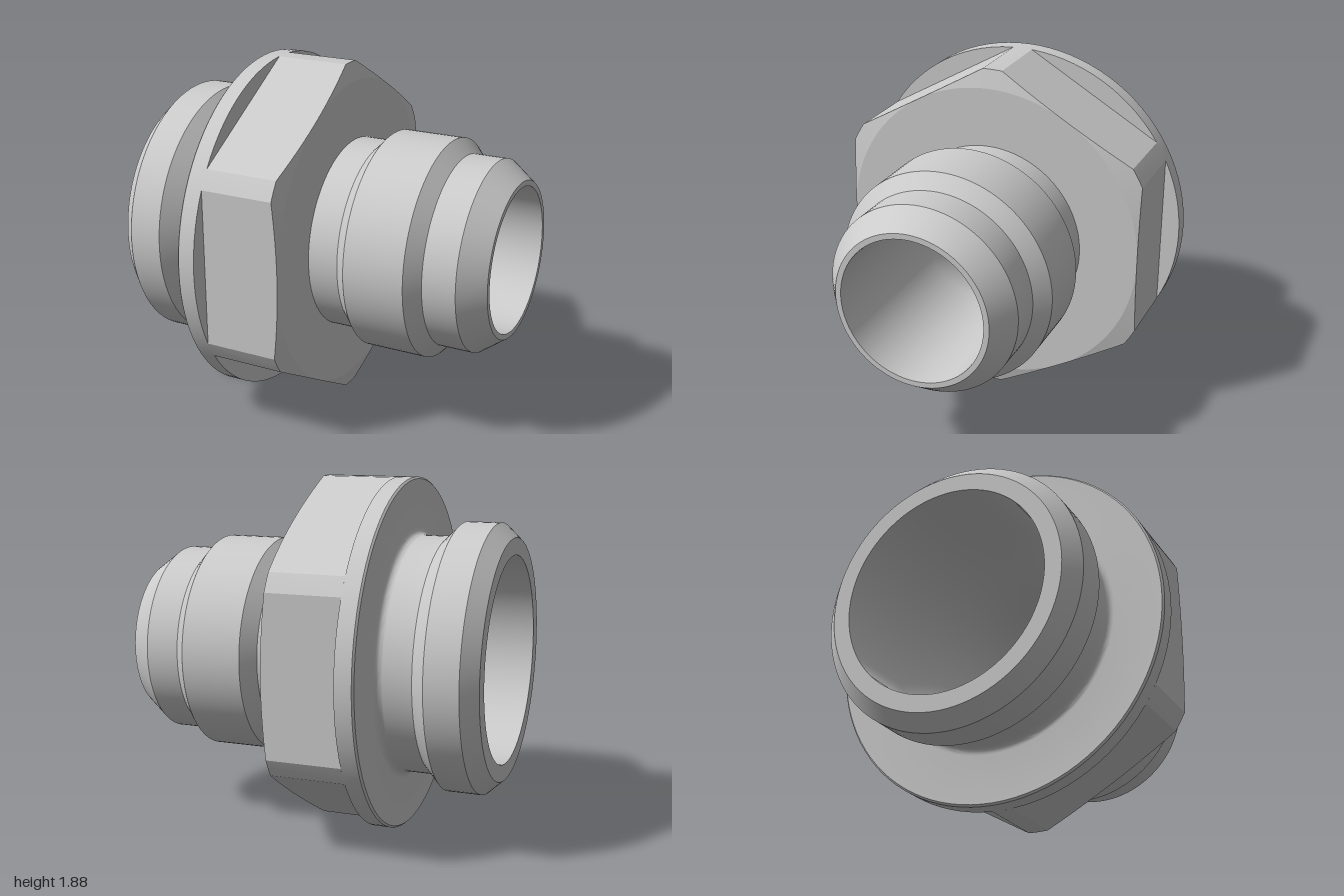
import * as THREE from 'three';
import { toCreasedNormals } from 'three/addons/utils/BufferGeometryUtils.js';

const AXIS_Y = 0.94;      // height of the fitting's axis
const FLANGE_R = 0.94;
const FLAT_R = 0.84;      // axis to each hexagon flat

// Turned body: closed profile as [x, radius], revolved about the x axis
function bodyGeometry() {
  const profile = [[-1, 0.55], [-1, 0.64], [-0.92, 0.715], [-0.74, 0.715], [-0.66, 0.635]];
  // fillet between the neck and the flange
  for (let i = 0; i <= 6; i++) {
    const a = (i / 6) * Math.PI / 2;
    profile.push([-0.51 + 0.04 * Math.sin(a), 0.675 - 0.04 * Math.cos(a)]);
  }
  // flange, then the smaller stepped end
  profile.push([-0.47, 0.93], [-0.46, FLANGE_R], [-0.37, FLANGE_R], [-0.37, 0.52],
    [0.22, 0.52], [0.29, 0.59], [0.62, 0.59], [0.69, 0.515], [0.87, 0.515],
    [1, 0.42], [1, 0.39]);
  // bore, blending smoothly from the narrow to the wide end
  for (let i = 0; i <= 16; i++) {
    const t = i / 16;
    profile.push([0.1 - 0.7 * t, 0.39 + 0.16 * t * t * (3 - 2 * t)]);
  }
  profile.push([-1, 0.55]);

  const points = profile.map(([x, r]) => new THREE.Vector2(r, x));
  const geometry = new THREE.LatheGeometry(points, 96).rotateZ(-Math.PI / 2);
  return toCreasedNormals(geometry, 0.3);
}

// Hexagon with rounded corners and a conical chamfer that scallops the flats
function hexGeometry() {
  const back = -0.37, chamferStart = 0.03, front = 0.055;
  const half = Math.acos(FLAT_R / FLANGE_R);
  const angles = [];
  for (let k = 0; k < 6; k++) {
    const mid = k * Math.PI / 3;
    for (let i = 0; i <= 16; i++) angles.push(mid - half + (2 * half * i) / 16);
    angles.push(mid + Math.PI / 6);
  }

  const positions = [], index = [];
  for (const angle of angles) {
    const off = angle - Math.round(angle / (Math.PI / 3)) * Math.PI / 3;
    const r = Math.min(FLANGE_R, FLAT_R / Math.cos(off));
    const edge = chamferStart + (front - chamferStart) * (FLANGE_R - r) / (FLANGE_R - FLAT_R);
    for (const [x, radius] of [[back, r], [edge, r], [front, FLAT_R], [front, 0.5]]) {
      positions.push(x, radius * Math.sin(angle), radius * Math.cos(angle));
    }
  }
  for (let j = 0; j < angles.length; j++) {
    const next = (j + 1) % angles.length;
    for (let i = 0; i < 3; i++) {
      const a = j * 4 + i, b = next * 4 + i;
      index.push(a, a + 1, b, a + 1, b + 1, b);
    }
  }
  const geometry = new THREE.BufferGeometry();
  geometry.setAttribute('position', new THREE.Float32BufferAttribute(positions, 3));
  geometry.setIndex(index);
  return toCreasedNormals(geometry, 0.2);
}

export function createModel() {
  const group = new THREE.Group();
  group.name = 'hexAdapterFitting';
  const material = new THREE.MeshStandardMaterial({ color: 0xcccccc });
  const add = (name, geometry) => {
    const mesh = new THREE.Mesh(geometry, material);
    mesh.name = name;
    mesh.position.y = AXIS_Y;
    group.add(mesh);
  };
  add('turnedBody', bodyGeometry());
  add('hexNut', hexGeometry());
  return group;
}
